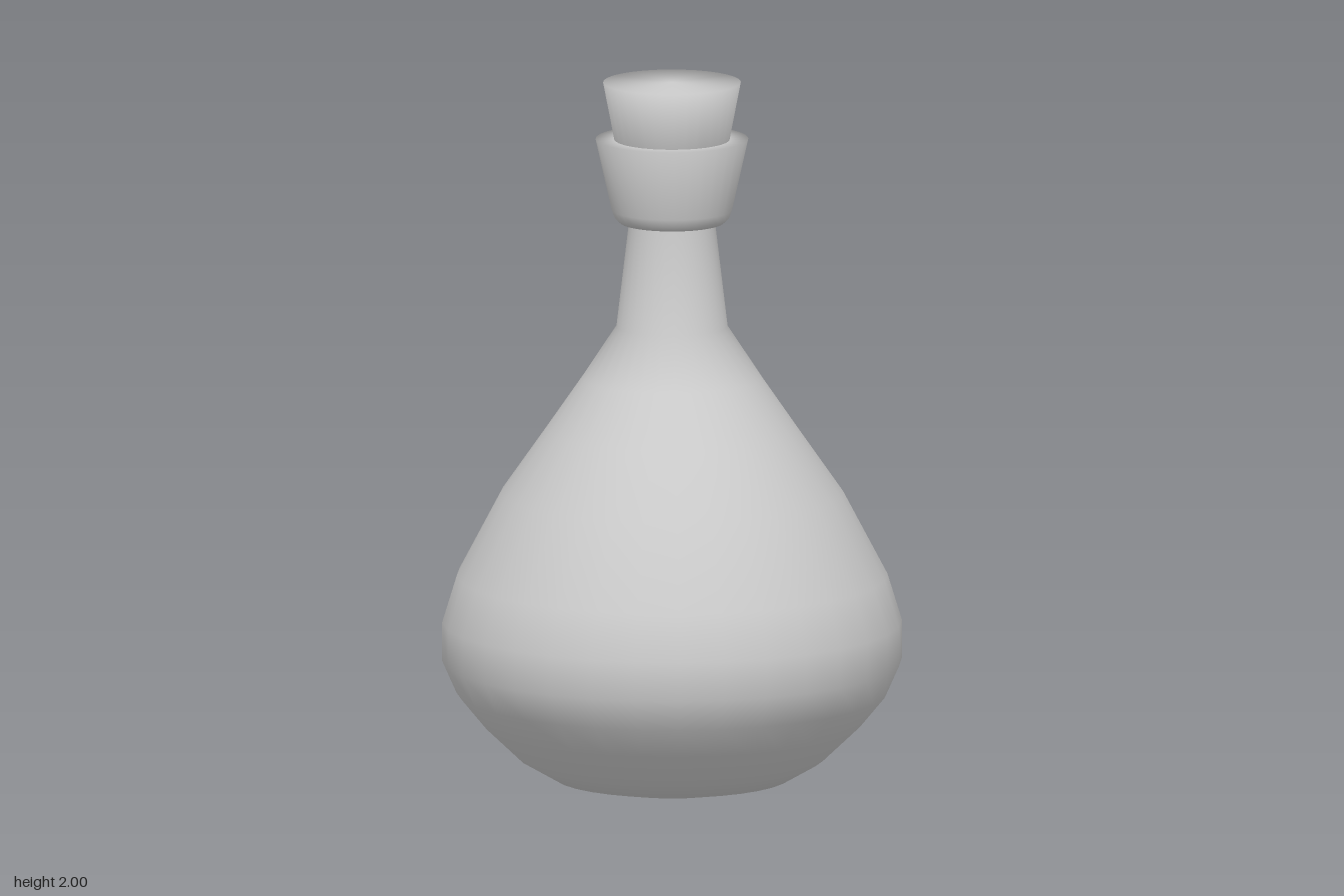
import * as THREE from 'three';

const SIDES = 32;

// Smooth turned part from [radius, height] pairs, listed bottom to top
function turned(name, profile) {
  const points = profile.map(([r, y]) => new THREE.Vector2(r, y));
  const mesh = new THREE.Mesh(
    new THREE.LatheGeometry(points, SIDES),
    new THREE.MeshStandardMaterial({ color: 0xcccccc })
  );
  mesh.name = name;
  return mesh;
}

export function createModel() {
  const group = new THREE.Group();
  group.name = 'flask';

  // Round belly rising into a tapered neck
  group.add(turned('flaskBody', [
    [0, 0], [0.18, 0.005], [0.33, 0.035], [0.425, 0.09], [0.53, 0.19],
    [0.6, 0.275], [0.64, 0.365], [0.64, 0.475], [0.6, 0.605],
    [0.476, 0.84], [0.35, 1.02], [0.25, 1.165], [0.155, 1.31], [0.12, 1.605],
  ]));

  // Flared collar around the mouth
  group.add(turned('collar', [
    [0.11, 1.602], [0.145, 1.604], [0.16, 1.618], [0.168, 1.64],
    [0.213, 1.84], [0.15, 1.838],
  ]));

  // Tapered stopper seated in the collar
  group.add(turned('stopper', [
    [0, 1.72], [0.138, 1.72], [0.192, 2], [0, 2],
  ]));

  return group;
}
